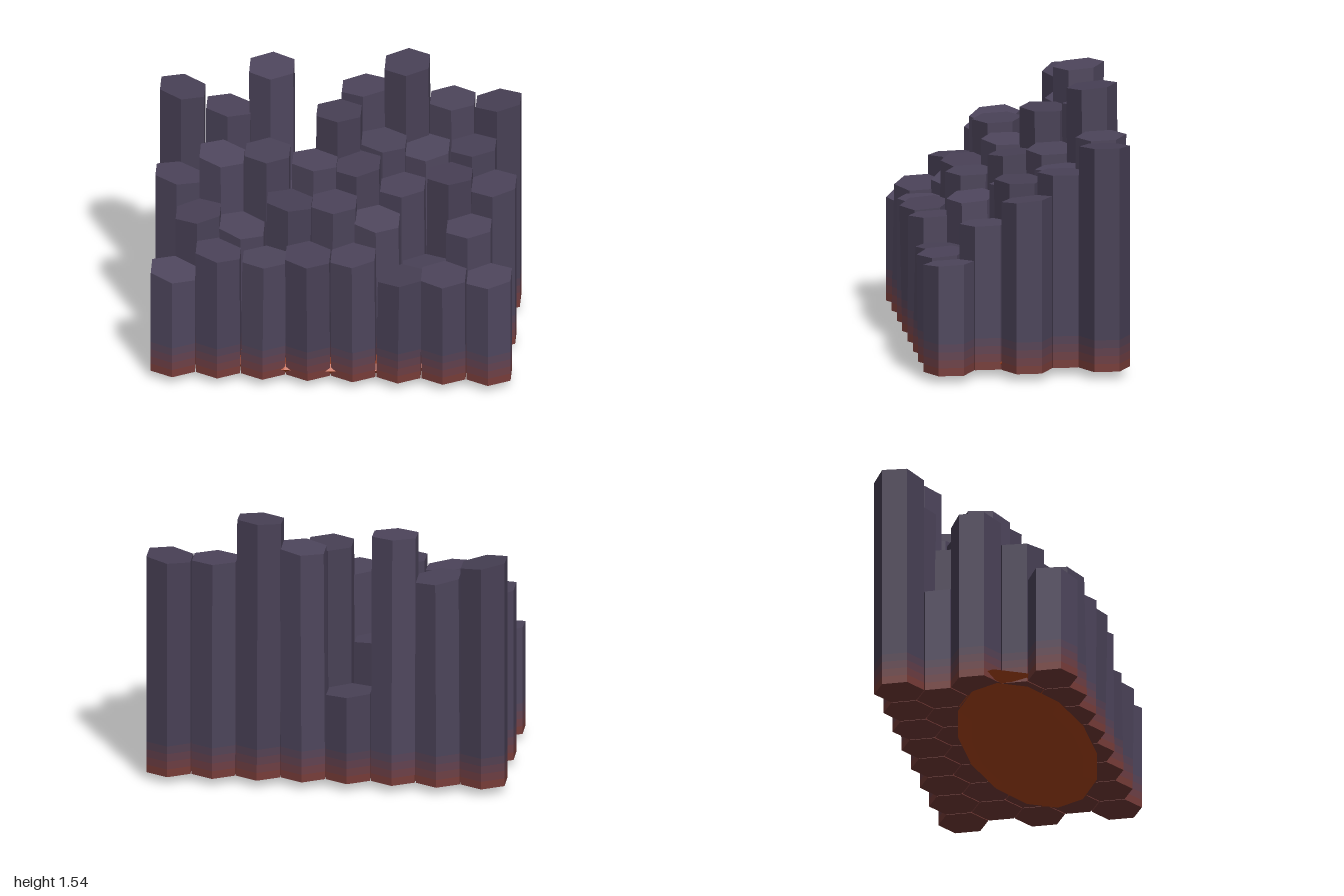
import * as THREE from 'three';

const FLOOR = 0.045, RADIUS = 0.141, SPACING = 0.25, ROW_STEP = 0.217;

// Column heights per row, back to front, each row running from -x to +x
const HEIGHTS = [
  [1.33, 1.23, 1.475, 0.55, 1.375, 1.53, 1.3, 1.3],
  [0.66, 0.99, 0.79, 1.33, 1.15, 1.1, 1.13],
  [1.02, 1.15, 1.185, 1.125, 1.105, 0.99, 1.07, 1.01],
  [0.9, 0.825, 0.98, 0.98, 0.89, 0.6, 0.855],
  [0.645, 0.77, 0.74, 0.77, 0.765, 0.64, 0.665, 0.66],
];

// Sideways slope of the tops, cycling along the columns
const SLOPES = [-0.16, -0.12, 0, -0.06, 0.08, 0.06, 0, 0.1];

// Warm glow fading up the foot of every column: bottom, top, strength
const BANDS = [[FLOOR, 0.09, 0.85], [0.09, 0.135, 0.6], [0.135, 0.18, 0.36], [0.18, 0.225, 0.15]];
const STONE = new THREE.Color(0x4b4359), GLOW = new THREE.Color(0x7d3b30);

function makeMesh(name, geometry, color) {
  const mesh = new THREE.Mesh(geometry, new THREE.MeshStandardMaterial({ color, flatShading: true }));
  mesh.name = name;
  return mesh;
}

// Hexagonal section from y0 to y1, its corners moved by a rule
function makeSection(y0, y1, openEnded, moveCorner) {
  const geometry = new THREE.CylinderGeometry(RADIUS, RADIUS, y1 - y0, 6, 1, openEnded);
  geometry.translate(0, (y0 + y1) / 2, 0);
  const corners = geometry.attributes.position;
  const corner = new THREE.Vector3();
  for (let i = 0; i < corners.count; i++) {
    corner.fromBufferAttribute(corners, i);
    moveCorner(corner);
    corners.setXYZ(i, corner.x, corner.y, corner.z);
  }
  geometry.computeVertexNormals();
  return geometry;
}

// Slightly leaning column with a tilted top and a glowing foot
function makeColumn(height, slopeX, slopeZ, leanX, leanZ, tone) {
  const column = new THREE.Group();
  column.name = 'basaltColumn';
  const stone = STONE.clone().multiplyScalar(tone);
  const moveCorner = (corner) => {
    const rise = (corner.y - FLOOR) / (height - FLOOR);
    if (rise > 0.999) corner.y += corner.x * slopeX + corner.z * slopeZ;
    corner.x += leanX * rise;
    corner.z += leanZ * rise;
  };
  BANDS.forEach(([y0, y1, heat], i) => {
    const color = stone.clone().lerp(GLOW, heat);
    column.add(makeMesh('glowingFoot', makeSection(y0, y1, i > 0, moveCorner), color));
  });
  const shaftStart = BANDS[BANDS.length - 1][1];
  column.add(makeMesh('shaft', makeSection(shaftStart, height, false, moveCorner), stone));
  return column;
}

export function createModel() {
  const model = new THREE.Group();
  model.name = 'basaltColumns';

  // Five staggered rows of columns
  HEIGHTS.forEach((row, r) => {
    row.forEach((height, i) => {
      const inner = i > 0 && i < row.length - 1;
      const leanX = inner ? 0.008 * Math.sin(i * 2 + r) : 0;
      const leanZ = inner ? 0.015 * Math.sin(i * 1.7 + r * 2.3) : 0;
      const slopeX = SLOPES[(i + r * 8 - (r % 2)) % 8 % SLOPES.length];
      const slopeZ = -0.04 + 0.06 * Math.sin(i * 2.1 + r);
      const tone = 0.9 + 0.2 * (((r * 5 + i * 3) % 7) / 6);
      const column = makeColumn(height, slopeX, slopeZ, leanX, leanZ, tone);
      column.position.set((i - (row.length - 1) / 2) * SPACING, 0, (r - 2) * ROW_STEP);
      model.add(column);
    });
  });

  // Flattened molten pool beneath the columns
  const pool = new THREE.SphereGeometry(1, 14, 8);
  pool.scale(0.94, 0.08, 0.41);
  const lava = makeMesh('lavaPool', pool, 0xb5481c);
  lava.position.set(-0.05, 0.08, 0.12);
  model.add(lava);

  return model;
}
